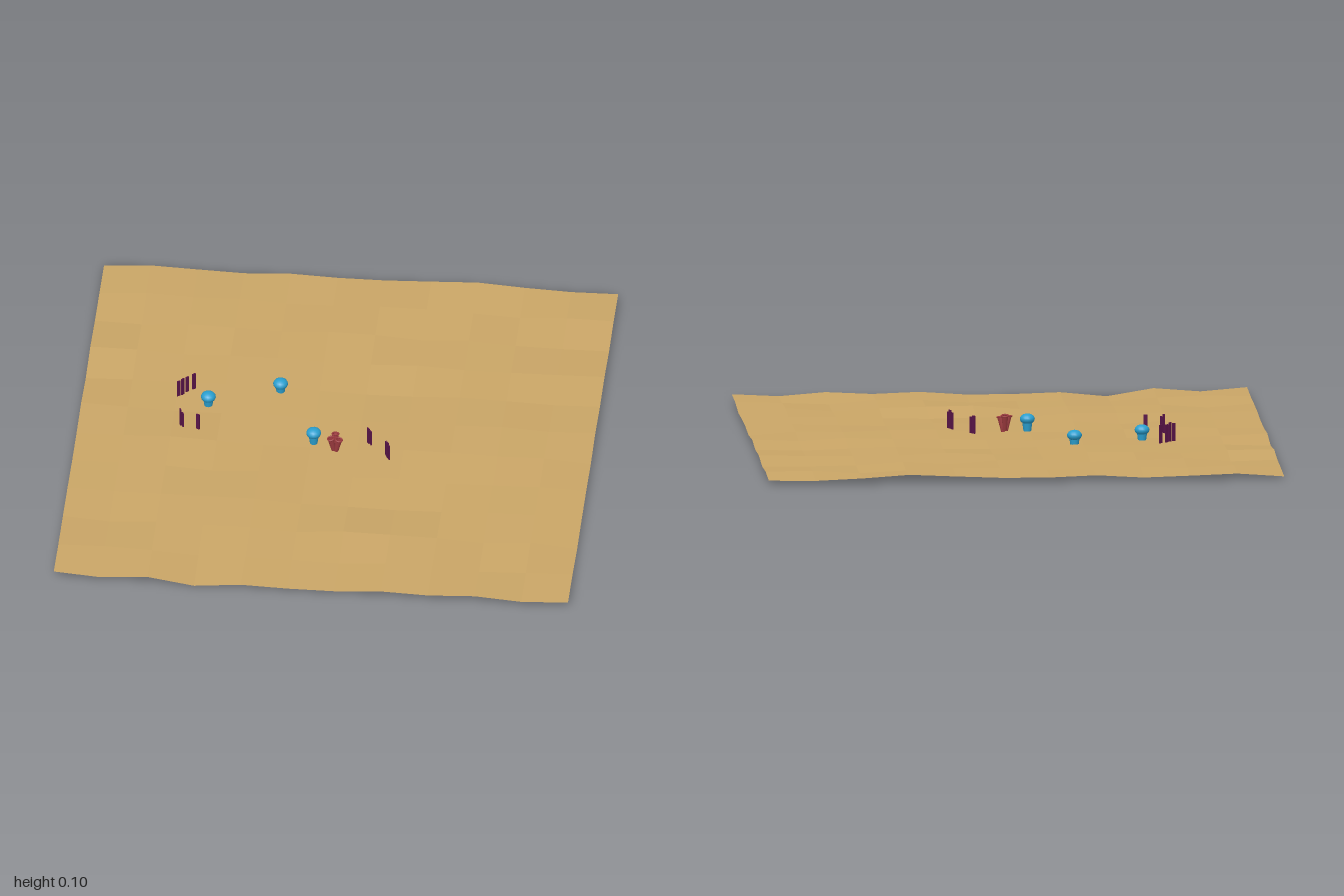
import * as THREE from 'three';

const material = (color, extra = {}) => new THREE.MeshStandardMaterial({ color, ...extra });

function add(parent, name, geometry, mat, x = 0, y = 0, z = 0) {
  const mesh = new THREE.Mesh(geometry, mat);
  mesh.name = name;
  mesh.position.set(x, y, z);
  parent.add(mesh);
  return mesh;
}

function seeded(seed) {
  return () => {
    seed = (seed * 16807) % 2147483647;
    return seed / 2147483647;
  };
}

// Gently uneven sheet of 11 x 11 tiles, each tile shaded as one facet
function groundGeometry() {
  const n = 11, random = seeded(4217);
  const height = Array.from({ length: (n + 1) ** 2 }, () => 0.018 + 0.02 * random());
  height[8] = 0.042;
  height[n * (n + 1) + 3] = 0.008;
  const corner = (i, j) => new THREE.Vector3(-1 + (2 * i) / n, height[j * (n + 1) + i], -1 + (2 * j) / n);
  const positions = [], normals = [];
  for (let j = 0; j < n; j++) {
    for (let i = 0; i < n; i++) {
      const a = corner(i, j), b = corner(i, j + 1), c = corner(i + 1, j + 1), d = corner(i + 1, j);
      const normal = c.clone().sub(a).cross(d.clone().sub(b)).normalize();
      if (normal.y < 0) normal.negate();
      for (const p of [a, b, c, a, c, d]) {
        positions.push(...p.toArray());
        normals.push(...normal.toArray());
      }
    }
  }
  const geometry = new THREE.BufferGeometry();
  geometry.setAttribute('position', new THREE.Float32BufferAttribute(positions, 3));
  geometry.setAttribute('normal', new THREE.Float32BufferAttribute(normals, 3));
  return geometry;
}

export function createModel() {
  const model = new THREE.Group();
  model.name = 'desertPatch';
  const sand = material(0xc9a566, { side: THREE.DoubleSide });
  const blue = material(0x2a9fcf);
  const purple = material(0x581448, { side: THREE.DoubleSide });
  const red = material(0xa03c40, { side: THREE.DoubleSide });

  add(model, 'ground', groundGeometry(), sand);

  // Mushrooms: a rounded cap on a tapered stem
  const cap = new THREE.SphereGeometry(0.029, 16, 10).scale(1, 0.72, 1);
  const stem = new THREE.CylinderGeometry(0.021, 0.015, 0.045, 12);
  for (const [x, y, z] of [[-0.51, 0.065, -0.14], [-0.24, 0.065, -0.25], [-0.08, 0.078, 0.07]]) {
    const mushroom = new THREE.Group();
    mushroom.name = 'mushroom';
    mushroom.position.set(x, y, z);
    add(mushroom, 'mushroomCap', cap, blue);
    add(mushroom, 'mushroomStem', stem, blue, 0, -0.025, 0);
    model.add(mushroom);
  }

  // Upright grass blades: x, z, turn, height
  const blades = [
    [-0.63, -0.185, 0.6, 0.07], [-0.615, -0.195, 0.9, 0.075], [-0.6, -0.215, 0.7, 0.07],
    [-0.575, -0.235, 0.7, 0.072], [-0.605, 0, -1.2, 0.075], [-0.595, 0.01, -1.2, 0.065],
    [-0.535, 0.02, -0.5, 0.07], [0.13, 0.045, -0.9, 0.07], [0.14, 0.055, -1, 0.065],
    [0.208, 0.125, -1.2, 0.07], [0.215, 0.14, -1, 0.078], [0.22, 0.148, -1.1, 0.07],
  ];
  for (const [x, z, turn, h] of blades) {
    const blade = add(model, 'grassBlade', new THREE.BoxGeometry(0.014, h, 0.005), purple, x, 0.027 + h / 2, z);
    blade.rotation.y = turn;
  }

  // Cluster of open tube plants flaring outwards
  const tube = new THREE.CylinderGeometry(0.013, 0.008, 0.06, 10, 1, true);
  const rim = new THREE.TorusGeometry(0.013, 0.003, 6, 12).rotateX(Math.PI / 2);
  [0.5, 2.6, 4.7].forEach((angle, i) => {
    const plant = new THREE.Group();
    plant.name = 'tubePlant';
    const dx = Math.cos(angle), dz = Math.sin(angle);
    plant.position.set(0.006 + 0.012 * dx, 0.052 + 0.004 * i, 0.1 + 0.012 * dz);
    plant.rotation.set(0.2 * dz, 0, -0.2 * dx);
    add(plant, 'tube', tube, red);
    add(plant, 'tubeRim', rim, red, 0, 0.03, 0);
    model.add(plant);
  });

  return model;
}
